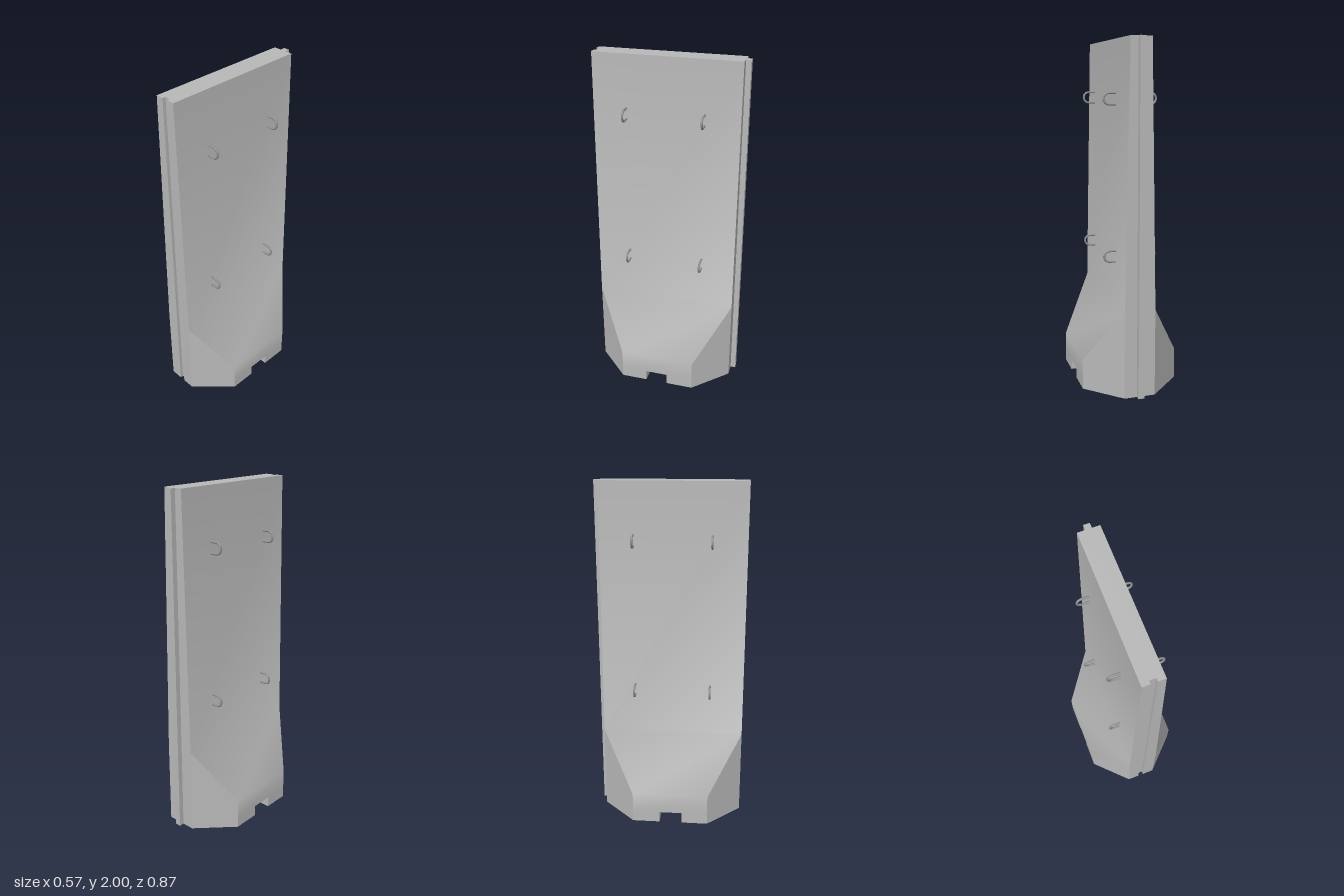
import * as THREE from 'three';
import { toCreasedNormals } from 'three/addons/utils/BufferGeometryUtils.js';

const FRONT = 0.434, BACK = -0.405;   // end faces of the wall
const KEY = 0.017;                    // half width of tongue and groove
const STEM = 0.09;                    // half width where the stem meets the foot

// Front part of a horizontal section at half width w, with the groove
function frontPoints(w) {
  const e = Math.min(w, STEM), z = FRONT - (w - e);
  return [[-w, z], [-e, FRONT], [-KEY, FRONT], [-KEY, FRONT - 0.018],
    [KEY, FRONT - 0.018], [KEY, FRONT], [e, FRONT], [w, z]];
}

// Back part of a horizontal section, with the tongue
function backPoints(w) {
  const e = Math.min(w, STEM), z = BACK + (w - e);
  return [[w, z], [e, BACK], [KEY, BACK], [KEY, -0.435],
    [-KEY, -0.435], [-KEY, BACK], [-e, BACK], [-w, z]];
}

// Skin a stack of sections and close both ends
function loft(levels, section) {
  const pos = [];
  const rings = levels.map(([y, w]) => section(w).map(([x, z]) => new THREE.Vector3(x, y, z)));
  const tri = (a, b, c) => {
    if (a.equals(b) || b.equals(c) || a.equals(c)) return;
    pos.push(...a.toArray(), ...b.toArray(), ...c.toArray());
  };
  for (let k = 0; k < rings.length - 1; k++) {
    const lo = rings[k], hi = rings[k + 1];
    for (let i = 0; i < lo.length; i++) {
      const j = (i + 1) % lo.length;
      tri(lo[i], lo[j], hi[j]);
      tri(lo[i], hi[j], hi[i]);
    }
  }
  const cap = (ring, up) => {
    const flat = ring.map(p => new THREE.Vector2(p.x, -p.z));
    for (const [a, b, c] of THREE.ShapeUtils.triangulateShape(flat, [])) {
      if (up) tri(ring[a], ring[b], ring[c]);
      else tri(ring[a], ring[c], ring[b]);
    }
  };
  cap(rings[0], false);
  cap(rings[rings.length - 1], true);
  const geo = new THREE.BufferGeometry();
  geo.setAttribute('position', new THREE.Float32BufferAttribute(pos, 3));
  return toCreasedNormals(geo, 0.6);
}

// U-shaped bar, open towards the wall
function loopGeometry() {
  const r = 0.031, xIn = 0.082, xArc = 0.121;
  const path = new THREE.CurvePath();
  const v = (x, y) => new THREE.Vector3(x, y, 0);
  const pts = [v(xIn, r), v((xIn + xArc) / 2, r)];
  for (let i = 0; i <= 8; i++) {
    const a = Math.PI / 2 - Math.PI * i / 8;
    pts.push(v(xArc + r * Math.cos(a), r * Math.sin(a)));
  }
  pts.push(v((xIn + xArc) / 2, -r), v(xIn, -r));
  return new THREE.TubeGeometry(new THREE.CatmullRomCurve3(pts), 32, 0.006, 10, false);
}

export function createModel() {
  const model = new THREE.Group();
  model.name = 'concreteBarrier';
  const concrete = new THREE.MeshStandardMaterial({ color: 0xb8b8b8 });
  concrete.name = 'concrete grey';
  const steel = new THREE.MeshStandardMaterial({ color: 0x909090, side: THREE.DoubleSide });
  steel.name = 'steel grey';

  const add = (name, geo, mat) => {
    const mesh = new THREE.Mesh(geo, mat);
    mesh.name = name;
    model.add(mesh);
    return mesh;
  };

  // Tapered wall with flared foot, above the drainage channel
  const base = 0.285, channelTop = 0.065;
  add('wall', loft([[channelTop, base], [0.18, base], [0.51, STEM], [2, 0.06]],
    w => [...frontPoints(w), ...backPoints(w)]), concrete);

  // Two feet either side of the channel
  const footLevels = [[0, base], [channelTop, base]];
  add('frontFoot', loft(footLevels,
    w => [...frontPoints(w), [w, 0.084], [-w, 0.084]]), concrete);
  add('backFoot', loft(footLevels,
    w => [...backPoints(w), [-w, -0.048], [w, -0.048]]), concrete);

  // Lifting loops on both faces
  const loop = loopGeometry();
  for (const side of [1, -1]) {
    for (const y of [0.784, 1.674]) {
      for (const z of [0.236, -0.209]) {
        const mesh = add(side > 0 ? 'leftLiftingLoop' : 'rightLiftingLoop', loop, steel);
        mesh.position.set(0, y, z);
        if (side < 0) mesh.rotation.y = Math.PI;
      }
    }
  }
  return model;
}
